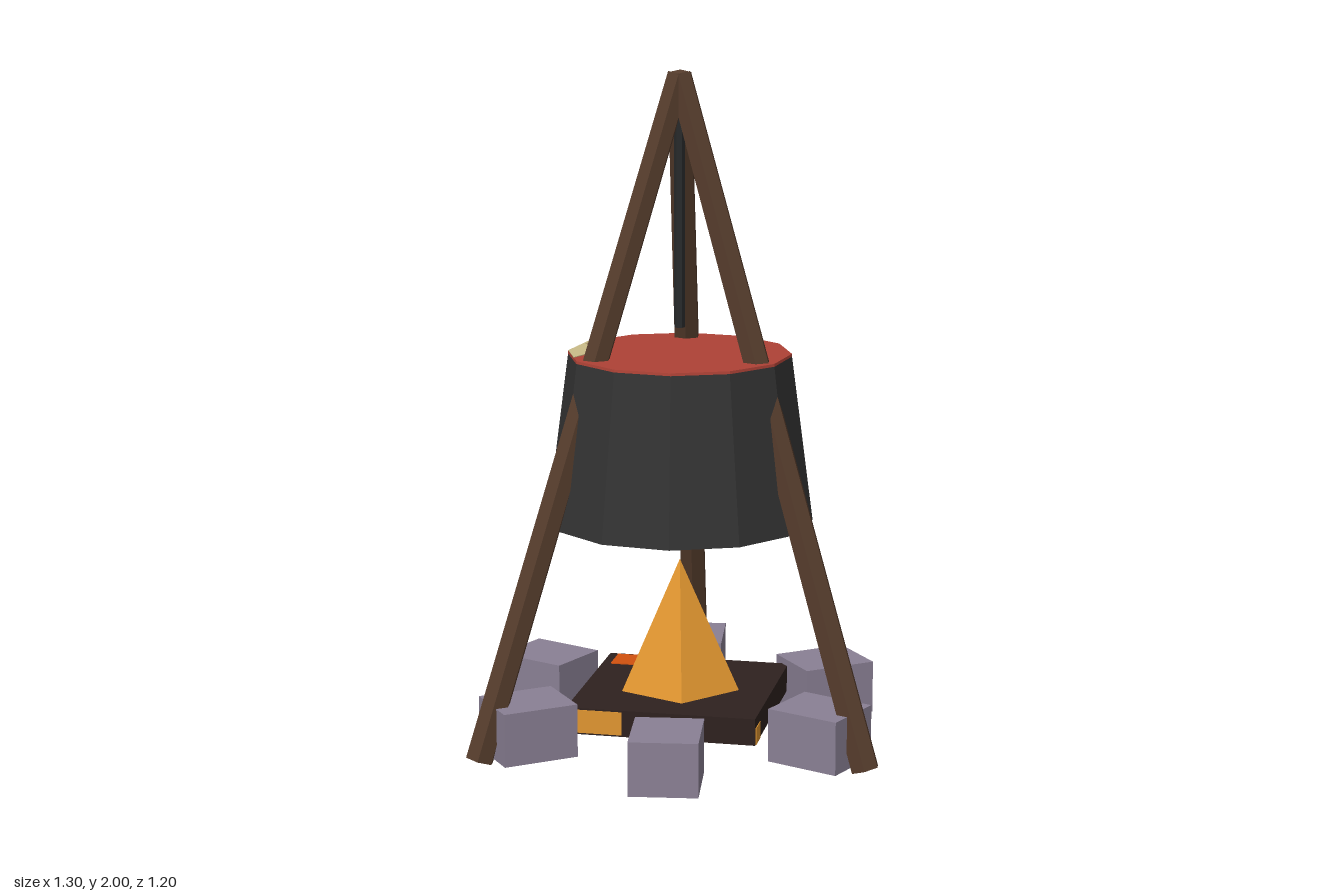
import * as THREE from 'three';

const mat = (name, color) => {
  const m = new THREE.MeshStandardMaterial({ color, flatShading: true });
  m.name = name;
  return m;
};

export function createModel() {
  const model = new THREE.Group();
  model.name = 'campfireCauldron';
  const wood = mat('wood', 0x553c2c);
  const iron = mat('iron', 0x333333);
  const chain = mat('darkIron', 0x282a2b);
  const soup = mat('soup', 0xae4236);
  const cream = mat('cream', 0xcabc88);
  const flame = mat('flame', 0xe09530);
  const ember = mat('ember', 0xd2520f);
  const char = mat('charredWood', 0x2e211f);
  const stone = mat('stone', 0x8a8094);

  const add = (name, geo, material, x = 0, y = 0, z = 0, parent = model) => {
    const mesh = new THREE.Mesh(geo, material);
    mesh.name = name;
    mesh.position.set(x, y, z);
    parent.add(mesh);
    return mesh;
  };
  const cx = -0.045; // shared vertical axis of fire, pot and tripod

  // Tripod: three six-sided poles meeting at the top
  const poleBottom = 0.014, poleTop = 1.988, reach = 0.65;
  const rise = poleTop - poleBottom;
  for (let i = 0; i < 3; i++) {
    const pivot = new THREE.Group();
    pivot.name = 'tripodLeg' + (i + 1);
    pivot.position.x = cx;
    pivot.rotation.y = (i * Math.PI * 2) / 3;
    const geo = new THREE.CylinderGeometry(0.038, 0.044, Math.hypot(reach, rise), 6);
    geo.rotateY(Math.PI / 2);
    const pole = add('pole', geo, wood, reach / 2, (poleTop + poleBottom) / 2, 0, pivot);
    pole.rotation.z = Math.atan2(reach, rise);
    model.add(pivot);
  }

  // Hanging rod
  add('hangingRod', new THREE.CylinderGeometry(0.016, 0.016, 0.7, 6), chain, cx, 1.6, 0);

  // Pot, wider at the bottom, filled to the brim
  add('pot', new THREE.CylinderGeometry(0.33, 0.395, 0.495, 12), iron, cx, 0.9225, 0);
  add('soupSurface', new THREE.CylinderGeometry(0.33, 0.331, 0.008, 12), soup, cx, 1.171, 0);

  // Pale patch floating at the rim
  const patch = new THREE.Shape([
    [-0.375, 0], [-0.355, 0.01], [-0.355, 0.05], [-0.25, 0.05], [-0.25, 0.246], [-0.33, 0.165],
  ].map(([x, z]) => new THREE.Vector2(x, -z)));
  const patchGeo = new THREE.ExtrudeGeometry(patch, { depth: 0.006, bevelEnabled: false });
  patchGeo.rotateX(-Math.PI / 2);
  add('soupPatch', patchGeo, cream, 0, 1.171, 0);

  // Charred fire bed with glowing patches on its faces
  const bed = new THREE.Group();
  bed.name = 'fireBed';
  bed.position.set(cx, 0.115, 0);
  bed.rotation.y = THREE.MathUtils.degToRad(22.5);
  model.add(bed);
  const box = (w, h, d) => new THREE.BoxGeometry(w, h, d);
  add('charredLogs', box(0.565, 0.08, 0.565), char, 0, 0, 0, bed);
  add('emberTop', box(0.17, 0.006, 0.1), ember, -0.17, 0.04, -0.22, bed);
  add('emberBottom', box(0.1, 0.006, 0.1), ember, -0.17, -0.04, -0.2, bed);
  add('emberSide', box(0.006, 0.06, 0.14), ember, -0.282, 0, -0.15, bed);
  add('emberBack', box(0.16, 0.05, 0.006), ember, -0.18, 0.01, -0.282, bed);
  add('glowFront', box(0.15, 0.07, 0.006), flame, -0.19, 0, 0.282, bed);
  add('glowSide', box(0.006, 0.05, 0.07), flame, 0.282, -0.015, 0.24, bed);
  add('glowBottom', box(0.15, 0.006, 0.1), flame, 0, -0.04, 0, bed);

  // Five-sided flame
  const fire = add('flame', new THREE.ConeGeometry(0.22, 0.47, 5), flame, cx, 0.313, 0);
  fire.rotation.y = Math.PI;

  // Ring of six stones
  for (let i = 0; i < 6; i++) {
    const a = (i * Math.PI) / 3;
    const rock = add('stone' + (i + 1), box(0.23, 0.16, 0.2), stone,
      cx + 0.495 * Math.cos(a), 0.095, -0.495 * Math.sin(a));
    rock.rotation.y = a;
  }
  return model;
}
